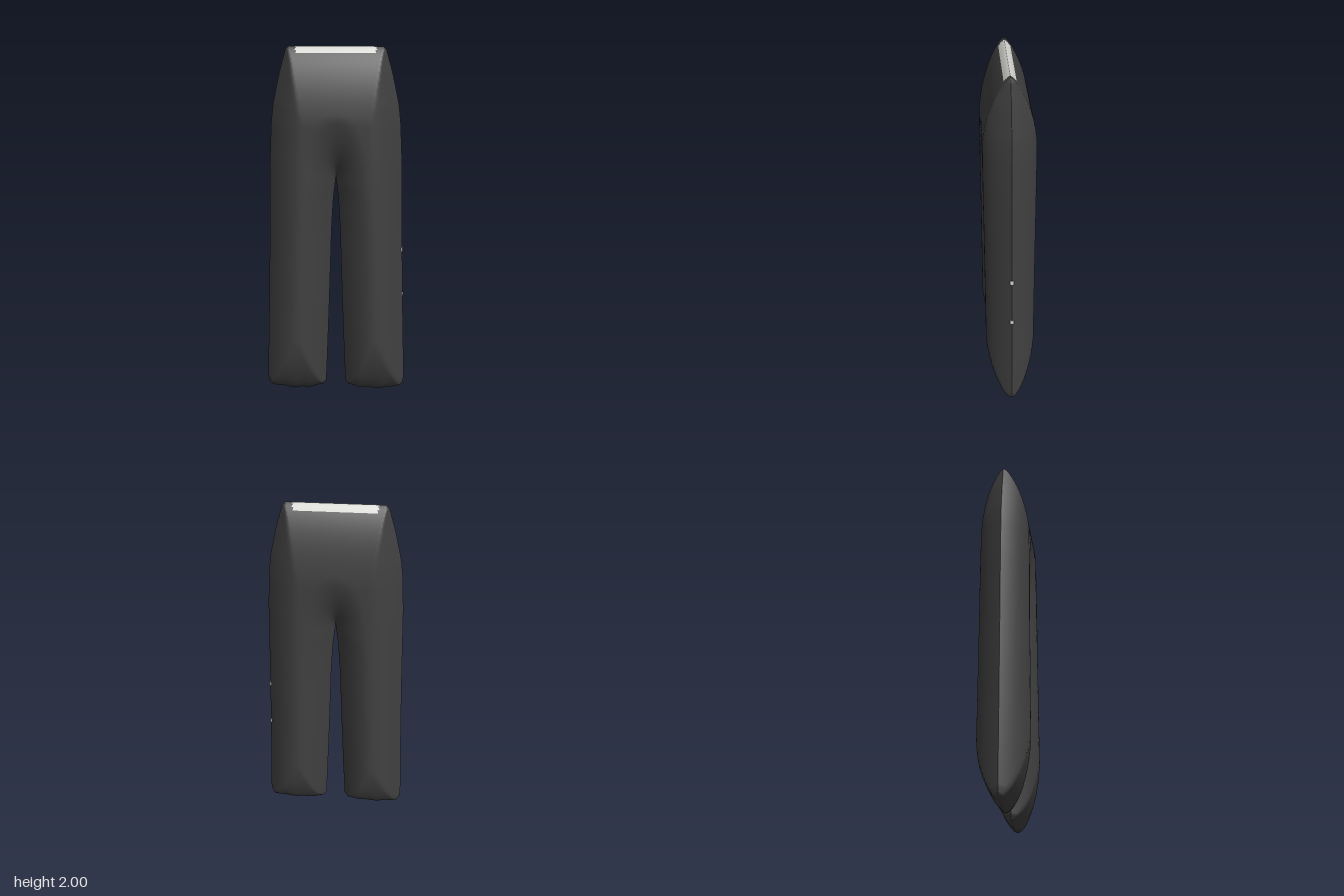
import * as THREE from 'three';
import { mergeVertices } from 'three/addons/utils/BufferGeometryUtils.js';

// Half outlines as [y, x], bottom to top
const OUTER = [[0, 0.375], [0.02, 0.395], [0.06, 0.4], [0.3, 0.392], [0.6, 0.38], [1, 0.367], [1.4, 0.356],
  [1.6, 0.345], [1.7, 0.333], [1.85, 0.3], [1.95, 0.272], [1.985, 0.262], [2, 0.245]];
const INNER = [[0, 0.075], [0.03, 0.056], [0.2, 0.05], [0.6, 0.036], [1, 0.024], [1.18, 0.014], [1.3, 0]];
const CROTCH = 1.3, DEPTH = 0.137, RADIUS = 0.16;

function sample(table, y) {
  for (let i = 1; i < table.length; i++) {
    const [y0, x0] = table[i - 1], [y1, x1] = table[i];
    if (y <= y1) return x0 + (x1 - x0) * (y - y0) / (y1 - y0);
  }
  return table[table.length - 1][1];
}

// Rounded rise from 0 to 1 that keeps a soft ridge where it levels off
function rise(t, power) {
  const q = 1 - 0.83 * Math.min(Math.max(t, 0), 1);
  return Math.pow((1 - q * q) / (1 - 0.17 * 0.17), power);
}

// Half thickness of the puffed cloth, from the distance to each edge
function thickness(x, y, xi, xo) {
  const inner = y > CROTCH ? Math.hypot(x, (y - CROTCH) * 0.45) : x - xi;
  return DEPTH * Math.min(
    rise((xo - x) / RADIUS, 1), rise(inner / RADIUS, 1),
    rise((2 - y) / 0.38, 0.75), rise(y / 0.37, 0.75));
}

function trousersGeometry() {
  const rows = 100, cols = 32, positions = [], dark = [], light = [];
  // Four quarter sheets: left and right, front and back
  for (const sx of [1, -1]) for (const sz of [1, -1]) {
    const base = positions.length / 3;
    for (let j = 0; j <= rows; j++) {
      const y = 1 - Math.cos(Math.PI * j / rows);
      const xi = sample(INNER, y), xo = sample(OUTER, y);
      for (let i = 0; i <= cols; i++) {
        const u = 0.5 - 0.5 * Math.cos(Math.PI * i / cols);
        const x = xi + (xo - xi) * u;
        // Hem sags in the middle of each leg
        const hem = (0.006 + 0.024 * (2 * u - 1) ** 2 + 0.003 * Math.sin(u * 19)) * Math.max(0, 1 - y / 0.3);
        positions.push(sx * x, y + hem, sz * thickness(x, y, xi, xo));
      }
    }
    for (let j = 0; j < rows; j++) for (let i = 0; i < cols; i++) {
      const a = base + j * (cols + 1) + i, b = a + 1, d = a + cols + 1, c = d + 1;
      const x = (positions[3 * a] + positions[3 * c]) / 2;
      const y = (positions[3 * a + 1] + positions[3 * c + 1]) / 2;
      // Pale waist opening
      const target = y > 1.972 && Math.abs(x) < 0.21 ? light : dark;
      if (sx * sz > 0) target.push(a, b, c, a, c, d);
      else target.push(a, c, b, a, d, c);
    }
  }
  let g = new THREE.BufferGeometry();
  g.setAttribute('position', new THREE.Float32BufferAttribute(positions, 3));
  g.setIndex([...dark, ...light]);
  g = mergeVertices(g, 1e-5);
  g.computeVertexNormals();
  g.clearGroups();
  g.addGroup(0, dark.length, 0);
  g.addGroup(dark.length, light.length, 1);
  return g;
}

export function createModel() {
  const cloth = new THREE.MeshStandardMaterial({ color: 0x404040, side: THREE.DoubleSide });
  cloth.name = 'charcoal cloth';
  const lining = new THREE.MeshStandardMaterial({ color: 0xd2d2ce, side: THREE.DoubleSide });
  lining.name = 'pale lining';

  const group = new THREE.Group();
  group.name = 'trousers';
  const body = new THREE.Mesh(trousersGeometry(), [cloth, lining]);
  body.name = 'trouserLegsAndWaist';
  group.add(body);

  // Small pale nicks on the left outer seam
  for (const y of [0.885, 0.615]) {
    const nick = new THREE.Mesh(new THREE.BoxGeometry(0.008, 0.022, 0.02), lining);
    nick.name = 'seamNick';
    nick.position.set(sample(OUTER, y) - 0.003, y, 0);
    group.add(nick);
  }
  return group;
}
